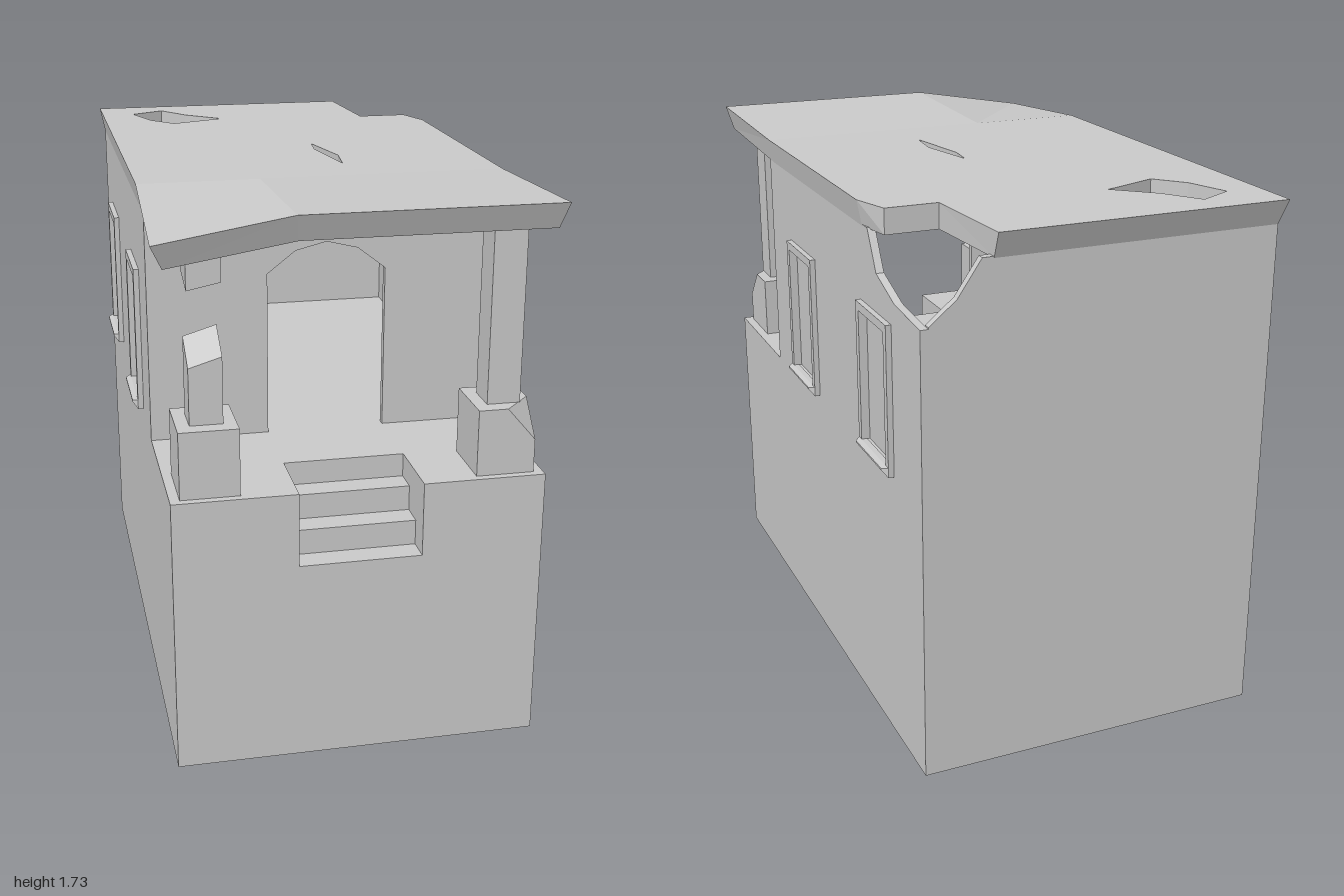
import * as THREE from 'three';
import { ConvexGeometry } from 'three/addons/geometries/ConvexGeometry.js';

const grey = new THREE.MeshStandardMaterial({ color: 0xcccccc, side: THREE.DoubleSide });
const paneMat = new THREE.MeshStandardMaterial({ color: 0xeeeeee, side: THREE.DoubleSide });

const toVecs = pts => pts.map(p => new THREE.Vector2(p[0], p[1]));
const rect = (a, b, c, d) => [[a, c], [b, c], [b, d], [a, d]];

// Flat plate cut from an outline, with optional holes
function plate(pts, depth, holes = []) {
  const shape = new THREE.Shape(toVecs(pts));
  holes.forEach(h => shape.holes.push(new THREE.Path(toVecs(h))));
  return new THREE.ExtrudeGeometry(shape, { depth, bevelEnabled: false });
}
// Plate drawn in (z, y), filling x .. x + depth
function sidePlate(pts, x, depth, holes) {
  return plate(pts, depth, holes).rotateY(-Math.PI / 2).translate(x + depth, 0, 0);
}
// Plate drawn in (x, z), filling y .. y + depth
function floorPlate(pts, y, depth, holes = []) {
  const flip = list => list.map(([x, z]) => [x, -z]);
  return plate(flip(pts), depth, holes.map(flip)).rotateX(-Math.PI / 2).translate(0, y, 0);
}
function block(x0, x1, y0, y1, z0, z1) {
  return new THREE.BoxGeometry(x1 - x0, y1 - y0, z1 - z0)
    .translate((x0 + x1) / 2, (y0 + y1) / 2, (z0 + z1) / 2);
}
const hull = pts => new ConvexGeometry(pts.map(p => new THREE.Vector3(...p)));

export function createModel() {
  const model = new THREE.Group();
  const add = (name, geometry, material = grey, parent = model) => {
    const mesh = new THREE.Mesh(geometry, material);
    mesh.name = name;
    parent.add(mesh);
    return mesh;
  };

  const W = 0.57, T = 0.025, FLOOR = 0.885, CEIL = 1.63;
  const windowZ = [0.1175, -0.6075];
  const openings = windowZ.map(c => rect(c - 0.11, c + 0.11, 0.94, 1.365));

  // Side walls; the left one has a broken back corner
  const wallFront = [[-0.97, 0], [0.98, 0], [0.98, FLOOR], [0.475, FLOOR], [0.475, CEIL]];
  const brokenTop = [[-0.55, CEIL], [-0.62, 1.51], [-0.77, 1.46], [-0.97, 1.445]];
  add('leftWall', sidePlate([...wallFront, ...brokenTop], W - T, T, openings));
  add('rightWall', sidePlate([...wallFront, [-0.97, CEIL]], -W, T, openings));

  // Back wall with the same broken corner
  const I = W - T;
  add('backWall', plate([[-I, 0], [I, 0], [I, 1.45], [0.46, 1.52], [0.385, CEIL], [-I, CEIL]], T)
    .translate(0, 0, -0.97));

  // Front foundation wall with the stair notch
  const S = 0.19;
  add('frontBase', plate([[-I, 0], [I, 0], [I, FLOOR], [S, FLOOR], [S, 0.65],
    [-S, 0.65], [-S, FLOOR], [-I, FLOOR]], T).translate(0, 0, 0.98 - T));

  // Floor of porch and room, notched for the stairs
  add('floor', floorPlate([[-I, -0.945], [I, -0.945], [I, 0.955], [S, 0.955], [S, 0.74],
    [-S, 0.74], [-S, 0.955], [-I, 0.955]], FLOOR - T, T));
  add('foundation', block(-I, I, 0.015, FLOOR - T, -0.945, 0.43));

  // Stairs
  for (let i = 0; i < 3; i++) {
    add('step', block(-S, S, 0.6, 0.65 + i * 0.08, 0.74, i === 0 ? 0.955 : 0.98 - i * 0.08));
  }
  add('stairBack', block(-S, S, 0.6, FLOOR, 0.72, 0.74));
  for (const s of [-1, 1]) {
    add('stairCheek', block(s * (S + 0.01) - 0.01, s * (S + 0.01) + 0.01, 0.6, FLOOR - 0.001, 0.72, 0.975));
  }

  // Room front wall with arched doorway
  add('doorWall', plate([[-I, FLOOR], [-S, FLOOR], [-S, 1.415], [-0.1, 1.485], [0, 1.51],
    [0.1, 1.485], [S, 1.415], [S, FLOOR], [I, FLOOR], [I, CEIL], [-I, CEIL]], T)
    .translate(0, 0, 0.475 - T));

  // Main roof with hole, crack and missing corner; edges slope in underneath
  const hole = [[-0.47, -0.84], [-0.355, -0.9], [-0.275, -0.785], [-0.155, -0.68], [-0.34, -0.61], [-0.42, -0.7]];
  const crack = [[0.075, -0.115], [0.065, -0.02], [0.105, 0.23], [0.12, 0.1]];
  const roof = floorPlate([[-0.585, -1], [0.35, -1], [0.375, -0.63], [0.545, -0.63],
    [0.585, -0.505], [0.585, 0.42], [-0.585, 0.42]], 1.625, 0.08, [hole, crack]);
  const rp = roof.attributes.position;
  for (let i = 0; i < rp.count; i++) {
    if (rp.getY(i) > 1.65) continue;
    if (Math.abs(rp.getX(i)) > 0.58) rp.setX(i, Math.sign(rp.getX(i)) * W);
    if (rp.getZ(i) < -0.99) rp.setZ(i, -0.97);
  }
  roof.computeVertexNormals();
  add('mainRoof', roof);

  // Porch roof, raised at the front and sagging at the right corner
  const porch = new THREE.BoxGeometry(1, 1, 1, 2, 1, 1).toNonIndexed();
  const pp = porch.attributes.position;
  for (let i = 0; i < pp.count; i++) {
    const col = Math.round(pp.getX(i) * 2) + 1, top = pp.getY(i) > 0, front = pp.getZ(i) > 0;
    const xs = !top ? [-W, -0.19, W] : front ? [-0.605, -0.2, 0.59] : [-0.585, -0.2, 0.585];
    let y = (top ? 1.705 : 1.625) + (front ? 0.02 : 0);
    if (front && col === 0) y = top ? 1.655 : 1.58;
    let z = front ? (top ? 1 : 0.97) : 0.42;
    if (front && col === 0) z -= 0.012;
    pp.setXYZ(i, xs[col], y, z);
  }
  porch.computeVertexNormals();
  add('porchRoof', porch);

  // Pedestals; the left one has a chipped corner
  add('rightPedestal', block(-0.54, -0.36, FLOOR, 1.095, 0.75, 0.955));
  add('leftPedestal', hull([
    [0.36, FLOOR, 0.75], [0.54, FLOOR, 0.75], [0.36, FLOOR, 0.955], [0.54, FLOOR, 0.955],
    [0.36, 1.095, 0.75], [0.54, 1.095, 0.75], [0.36, 1.095, 0.955],
    [0.45, 1.095, 0.955], [0.54, 0.99, 0.955], [0.54, 1.095, 0.86]]));

  // Whole left column, broken right column and its hanging stub
  add('leftColumn', block(0.4, 0.503, 1.095, 1.645, 0.8, 0.905));
  const corners = [[-0.5, 0.905], [-0.4, 0.905], [-0.4, 0.8], [-0.5, 0.8]];
  const stump = (lows, highs) => hull(corners.flatMap(([x, z], i) => [[x, lows[i], z], [x, highs[i], z]]));
  add('brokenColumn', stump([1.095, 1.095, 1.095, 1.095], [1.27, 1.3, 1.365, 1.335]));
  add('columnStub', stump([1.5, 1.52, 1.55, 1.53], [1.6, 1.62, 1.63, 1.61]));

  // Windows: frame, sloped sill and cracked pane, by side and position
  const panes = {
    left: [
      [[-0.11, 0.94], [0.11, 0.94], [0.11, 1.365], [0, 1.365], [-0.02, 1.335], [-0.06, 1.32], [-0.1, 1.24], [-0.11, 1.23]],
      rect(-0.11, 0.11, 0.94, 1.365)],
    right: [
      [[-0.11, 1.03], [-0.07, 1.07], [-0.04, 1], [0.02, 0.98], [0.04, 0.94], [0.11, 0.94], [0.11, 1.365], [-0.11, 1.365]],
      [[-0.11, 0.94], [0.11, 0.94], [0.11, 1.23], [0.03, 1.2], [-0.03, 1.12], [-0.11, 1.08]]],
  };
  for (const side of ['left', 'right']) {
    const s = side === 'left' ? 1 : -1;
    windowZ.forEach((c, i) => {
      const win = new THREE.Group();
      win.name = side + 'Window';
      win.position.z = c;
      model.add(win);
      add('frame', sidePlate(rect(-0.1325, 0.1325, 0.91, 1.39), s > 0 ? W : -W - 0.018, 0.018,
        [rect(-0.108, 0.108, 0.942, 1.363)]), grey, win);
      add('sill', hull([-1, 1].flatMap(e => [
        [s * W, 0.91, e * 0.132], [s * 0.588, 0.91, e * 0.132], [s * 0.605, 0.932, e * 0.115],
        [s * 0.605, 0.938, e * 0.115], [s * 0.588, 0.942, e * 0.132], [s * W, 0.942, e * 0.132]])), grey, win);
      add('pane', sidePlate(panes[side][i], s * 0.557 - 0.003, 0.006), paneMat, win);
    });
  }
  return model;
}
